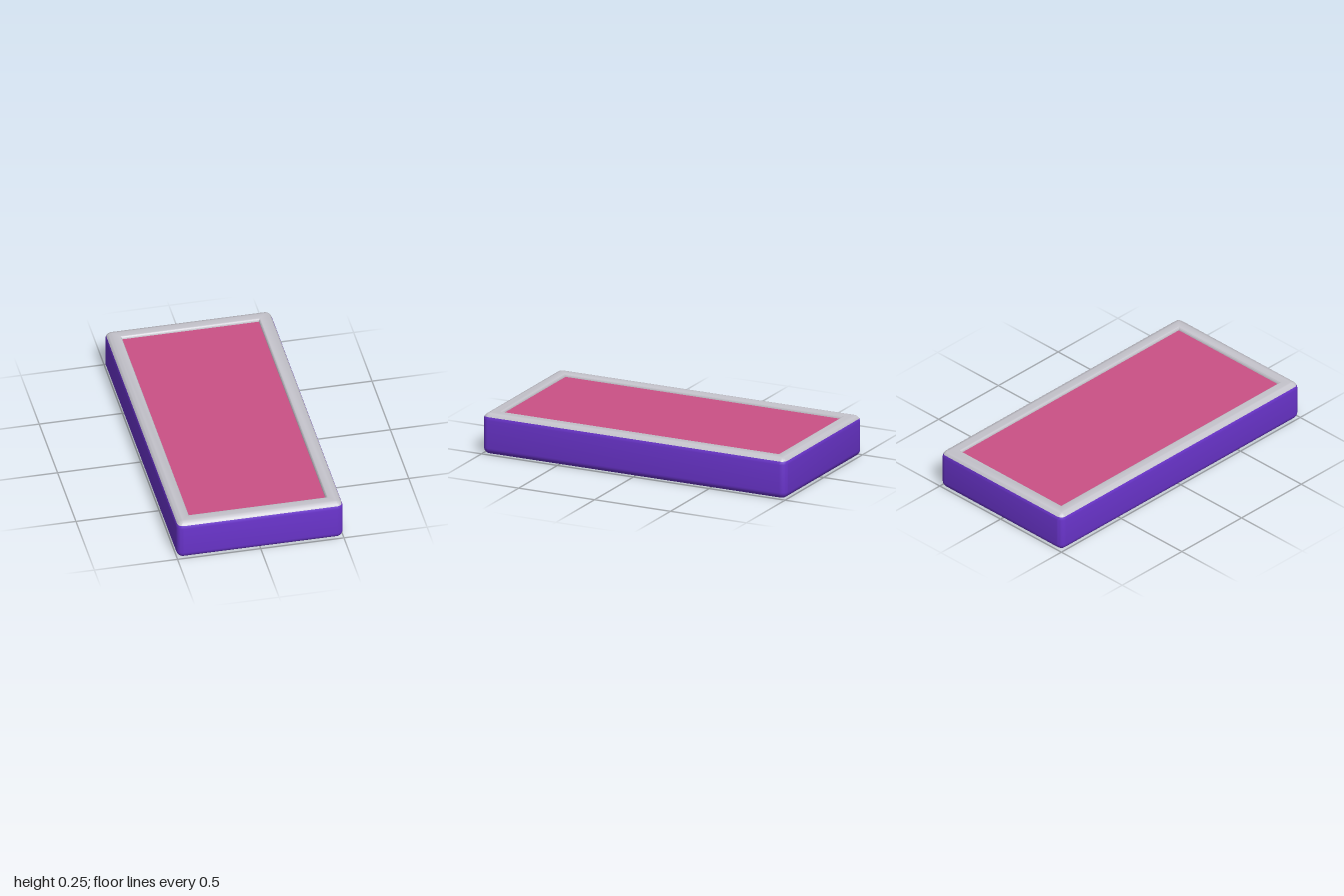
import * as THREE from 'three';
import { toCreasedNormals } from 'three/addons/utils/BufferGeometryUtils.js';

const HALF_X = 0.5, HALF_Z = 1, RADIUS = 0.04, HEIGHT = 0.25;
const CORNER_STEPS = 6;

// Rounded rectangle ring, shrunk by inset, at height y
function ring(inset, y) {
  const r = Math.max(0, RADIUS - inset);
  const cx = HALF_X - inset - r, cz = HALF_Z - inset - r;
  const signs = [[1, 1], [-1, 1], [-1, -1], [1, -1]];
  const points = [];
  signs.forEach(([sx, sz], corner) => {
    for (let k = 0; k <= CORNER_STEPS; k++) {
      const a = (corner + k / CORNER_STEPS) * Math.PI / 2;
      points.push(sx * cx + r * Math.cos(a), y, sz * cz + r * Math.sin(a));
    }
  });
  return points;
}

// Skin a profile of [inset, y] pairs around the rectangle
function sweep(name, profile, material) {
  const n = 4 * (CORNER_STEPS + 1);
  const positions = profile.flatMap(([inset, y]) => ring(inset, y));
  const index = [];
  for (let i = 0; i < profile.length - 1; i++) {
    for (let j = 0; j < n; j++) {
      const a = i * n + j, b = i * n + (j + 1) % n;
      index.push(a, a + n, b, b, a + n, b + n);
    }
  }
  const geometry = new THREE.BufferGeometry();
  geometry.setAttribute('position', new THREE.Float32BufferAttribute(positions, 3));
  geometry.setIndex(index);
  const mesh = new THREE.Mesh(toCreasedNormals(geometry, 0.6), material);
  mesh.name = name;
  return mesh;
}

// Quarter-round edge points between two angles in degrees
function edgeArc(centreY, from, to) {
  const points = [];
  for (let d = from; d <= to; d += 15) {
    const a = THREE.MathUtils.degToRad(d);
    points.push([RADIUS * (1 - Math.cos(a)), centreY + RADIUS * Math.sin(a)]);
  }
  return points;
}

export function createModel() {
  const purple = new THREE.MeshStandardMaterial({ color: 0x6a34cc });
  const grey = new THREE.MeshStandardMaterial({ color: 0xc4c3cb });
  const pink = new THREE.MeshStandardMaterial({ color: 0xcb5186 });
  purple.name = 'purple';
  grey.name = 'grey';
  pink.name = 'pink';

  const topY = HEIGHT - RADIUS;
  const group = new THREE.Group();
  group.name = 'framedTray';

  // Closed bottom, rounded lower edge and side walls
  group.add(sweep('body', [
    [0.5, 0], ...edgeArc(RADIUS, -90, 0), ...edgeArc(topY, 0, 30),
  ], purple));

  // Rounded rim with a softened inner lip
  group.add(sweep('rim', [
    ...edgeArc(topY, 30, 90),
    [0.078, HEIGHT], [0.083, 0.248], [0.087, 0.243], [0.089, 0.23],
  ], grey));

  // Recessed flat panel
  group.add(sweep('panel', [[0.089, 0.232], [0.5, 0.232]], pink));

  return group;
}
